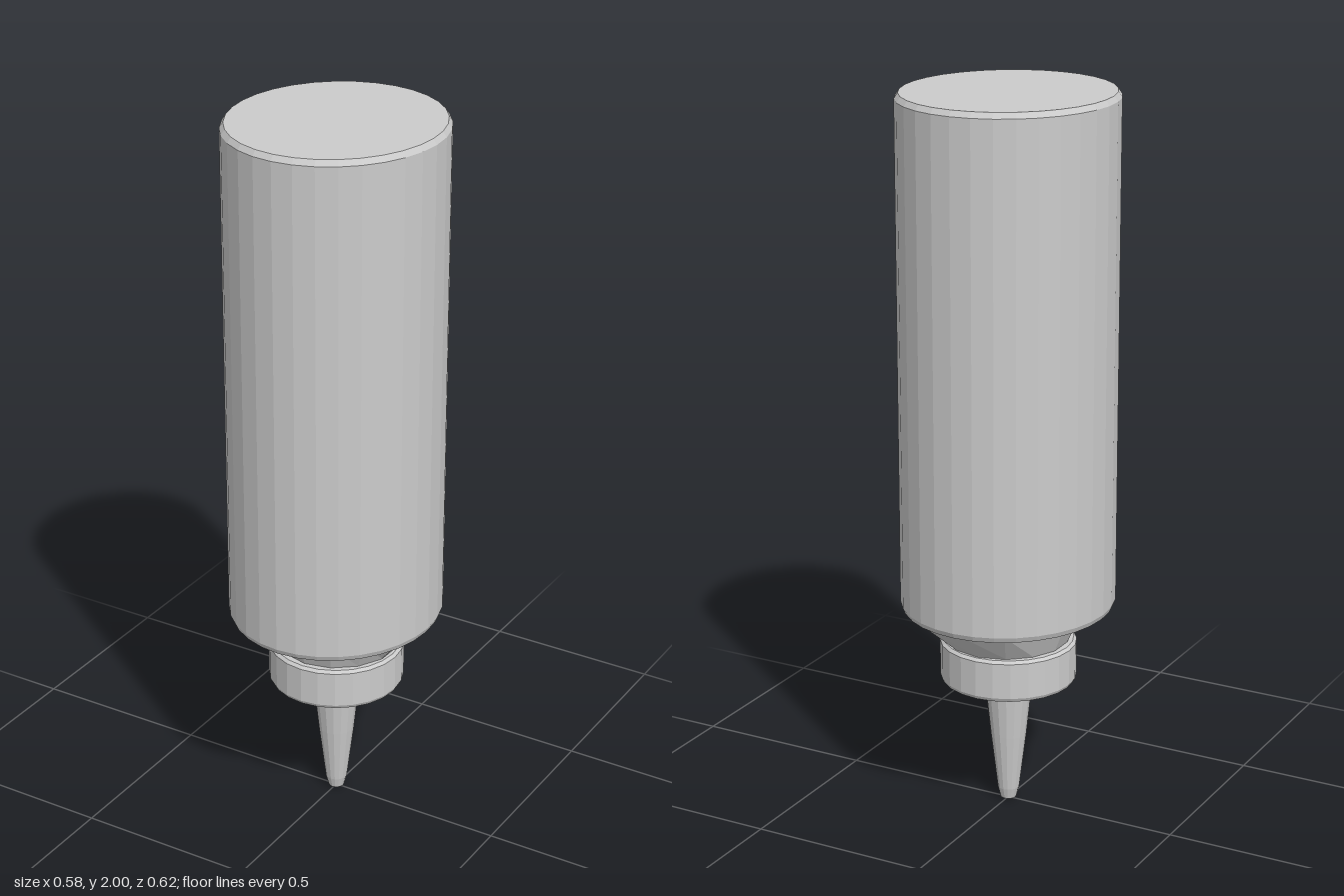
import * as THREE from 'three';

const material = new THREE.MeshStandardMaterial({ color: 0xcccccc, flatShading: true });

// Lathe part from [radius, y] pairs, listed bottom to top
function lathePart(name, profile, sides) {
  const points = profile.map(([r, y]) => new THREE.Vector2(r, y));
  const mesh = new THREE.Mesh(new THREE.LatheGeometry(points, sides), material);
  mesh.name = name;
  return mesh;
}

export function createModel() {
  const group = new THREE.Group();
  group.name = 'squeezeBottle';

  // Slightly oval bottle body, standing upside down
  const body = lathePart('body', [
    [0, 0.572], [0.21, 0.572], [0.284, 0.59], [0.29, 0.605], [0.29, 1.985], [0.28, 2], [0, 2],
  ], 32);
  body.scale.z = 0.31 / 0.29;
  group.add(body);

  // Faceted shoulder, fuller towards the left and back
  const shoulder = lathePart('shoulder', [[0, 0.46], [0.155, 0.46], [0.168, 0.49], [0.205, 0.575], [0, 0.575]], 14);
  const pos = shoulder.geometry.attributes.position;
  for (let i = 0; i < pos.count; i++) {
    const x = pos.getX(i), z = pos.getZ(i), y = pos.getY(i);
    const lean = Math.max(0, Math.cos(Math.atan2(z, x) + Math.PI / 4));
    const k = 1 + lean * (y > 0.55 ? 0.36 : 0.06);
    pos.setXYZ(i, x * k, y, z * k);
  }
  shoulder.geometry.computeVertexNormals();
  group.add(shoulder);

  // Screw cap with a shallow conical face
  group.add(lathePart('cap', [
    [0, 0.34], [0.06, 0.342], [0.183, 0.37], [0.188, 0.38], [0.188, 0.48], [0.18, 0.488], [0, 0.488],
  ], 24));

  // Tapered nozzle with a blunt tip
  group.add(lathePart('nozzle', [
    [0, 0], [0.022, 0.004], [0.03, 0.035], [0.05, 0.2], [0.065, 0.345], [0, 0.36],
  ], 16));

  return group;
}
